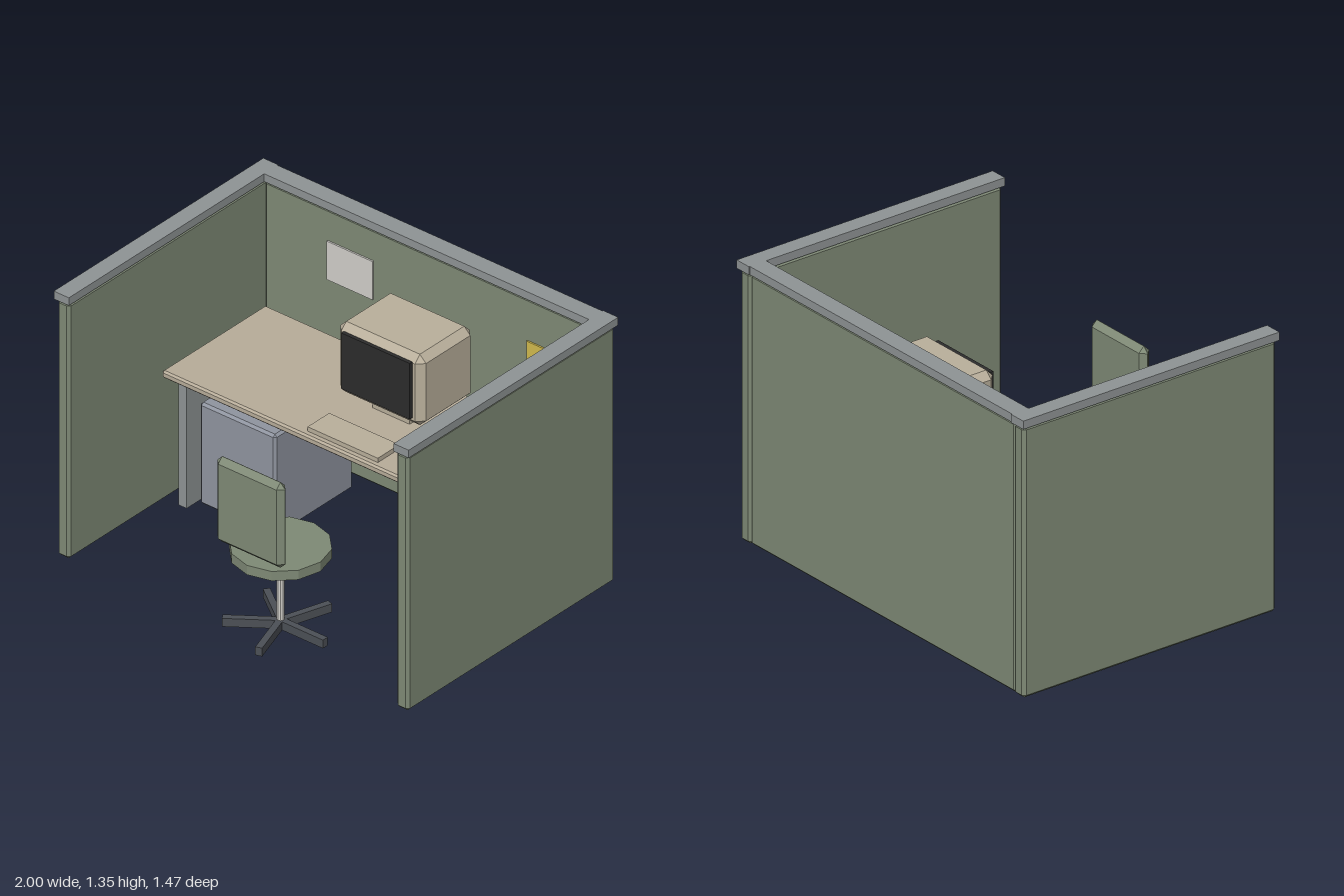
import * as THREE from 'three';
import { ConvexGeometry } from 'three/addons/geometries/ConvexGeometry.js';

const mat = (name, color) => {
  const m = new THREE.MeshStandardMaterial({ color });
  m.name = name;
  return m;
};

// Box with every edge chamfered, given by its limits on each axis
function chamferBox([x0, x1], [y0, y1], [z0, z1], c) {
  const h = [(x1 - x0) / 2, (y1 - y0) / 2, (z1 - z0) / 2];
  const points = [];
  for (const sx of [-1, 1]) for (const sy of [-1, 1]) for (const sz of [-1, 1])
    for (let axis = 0; axis < 3; axis++) {
      const p = [sx, sy, sz].map((s, i) => s * (i === axis ? h[i] : h[i] - c));
      points.push(new THREE.Vector3(...p));
    }
  const g = new ConvexGeometry(points);
  g.translate((x0 + x1) / 2, (y0 + y1) / 2, (z0 + z1) / 2);
  return g;
}

function plainBox([x0, x1], [y0, y1], [z0, z1]) {
  const g = new THREE.BoxGeometry(x1 - x0, y1 - y0, z1 - z0);
  g.translate((x0 + x1) / 2, (y0 + y1) / 2, (z0 + z1) / 2);
  return g;
}

function cylinder(r, y0, y1, sides, x, z) {
  const g = new THREE.CylinderGeometry(r, r, y1 - y0, sides).toNonIndexed();
  g.computeVertexNormals();
  g.translate(x, (y0 + y1) / 2, z);
  return g;
}

export function createModel() {
  const model = new THREE.Group();
  model.name = 'officeCubicle';

  const fabric = mat('green fabric', 0x7f8a76);
  const trim = mat('grey trim', 0x8f9495);
  const steel = mat('cabinet grey', 0x9095a0);
  const wood = mat('beige laminate', 0xb8ad9a);
  const plastic = mat('beige plastic', 0xbab09c);
  const dark = mat('screen black', 0x2c2c2c);
  const charcoal = mat('charcoal', 0x4c5056);
  const white = mat('off white', 0xd2d0cb);
  const yellow = mat('note yellow', 0xd2bb4e);

  const add = (parent, name, geometry, material) => {
    const mesh = new THREE.Mesh(geometry, material);
    mesh.name = name;
    parent.add(mesh);
    return mesh;
  };
  const group = (name) => {
    const g = new THREE.Group();
    g.name = name;
    model.add(g);
    return g;
  };
  // Range on the x axis, mirrored for the right-hand side
  const sideRange = (s, a, b) => (s > 0 ? [a, b] : [-b, -a]);

  // Partition walls with top rails
  const walls = group('partitions');
  add(walls, 'backPanel', chamferBox([-0.925, 0.925], [0, 1.305], [-0.72, -0.65], 0.014), fabric);
  add(walls, 'backRail', plainBox([-0.915, 0.915], [1.305, 1.345], [-0.73, -0.64]), trim);
  for (const s of [-1, 1]) {
    add(walls, 'sidePanel', chamferBox(sideRange(s, 0.92, 0.99), [0, 1.305], [-0.725, 0.662], 0.014), fabric);
    add(walls, 'sideRail', plainBox(sideRange(s, 0.915, 1), [1.305, 1.345], [-0.735, 0.67]), trim);
  }

  // Pinned papers
  add(walls, 'pinnedPaper', plainBox([-0.565, -0.307], [0.947, 1.143], [-0.65, -0.642]), white);
  add(walls, 'pinnedNote', plainBox([0.56, 0.733], [0.917, 1.09], [-0.65, -0.642]), yellow);

  // Desk with slab legs
  const desk = group('desk');
  add(desk, 'desktop', chamferBox([-0.91, 0.91], [0.642, 0.68], [-0.64, 0.055], 0.009), wood);
  for (const s of [-1, 1])
    add(desk, 'deskLeg', plainBox(sideRange(s, 0.802, 0.848), [0, 0.642], [-0.64, 0.015]), trim);
  add(desk, 'filingCabinet', chamferBox([-0.78, -0.353], [0.005, 0.522], [-0.57, -0.045], 0.012), steel);

  // Things on the desk
  const computer = group('computer');
  add(computer, 'monitorBody', chamferBox([-0.158, 0.325], [0.742, 1.103], [-0.58, -0.215], 0.034), plastic);
  add(computer, 'monitorScreen', plainBox([-0.108, 0.277], [0.79, 1.075], [-0.215, -0.197]), dark);
  add(computer, 'monitorStand', plainBox([-0.02, 0.19], [0.68, 0.745], [-0.5, -0.3]), plastic);
  add(computer, 'keyboard', plainBox([-0.112, 0.284], [0.68, 0.702], [-0.12, 0.025]), plastic);
  add(desk, 'cup', cylinder(0.036, 0.68, 0.772, 12, 0.605, -0.118), white);

  // Swivel chair
  const chair = group('chair');
  const cx = 0.127, cz = 0.49;
  add(chair, 'seat', cylinder(0.225, 0.377, 0.425, 12, cx, cz), fabric);
  add(chair, 'backrest', chamferBox([-0.065, 0.317], [0.465, 0.9], [0.656, 0.712], 0.027), fabric);
  add(chair, 'post', cylinder(0.018, 0.02, 0.377, 10, cx, cz), white);
  for (let i = 0; i < 5; i++) {
    const leg = add(chair, 'baseLeg', plainBox([0, 0.252], [0.003, 0.045], [-0.016, 0.016]), charcoal);
    leg.position.set(cx, 0, cz);
    leg.rotation.y = (i * Math.PI * 2) / 5;
  }
  return model;
}
